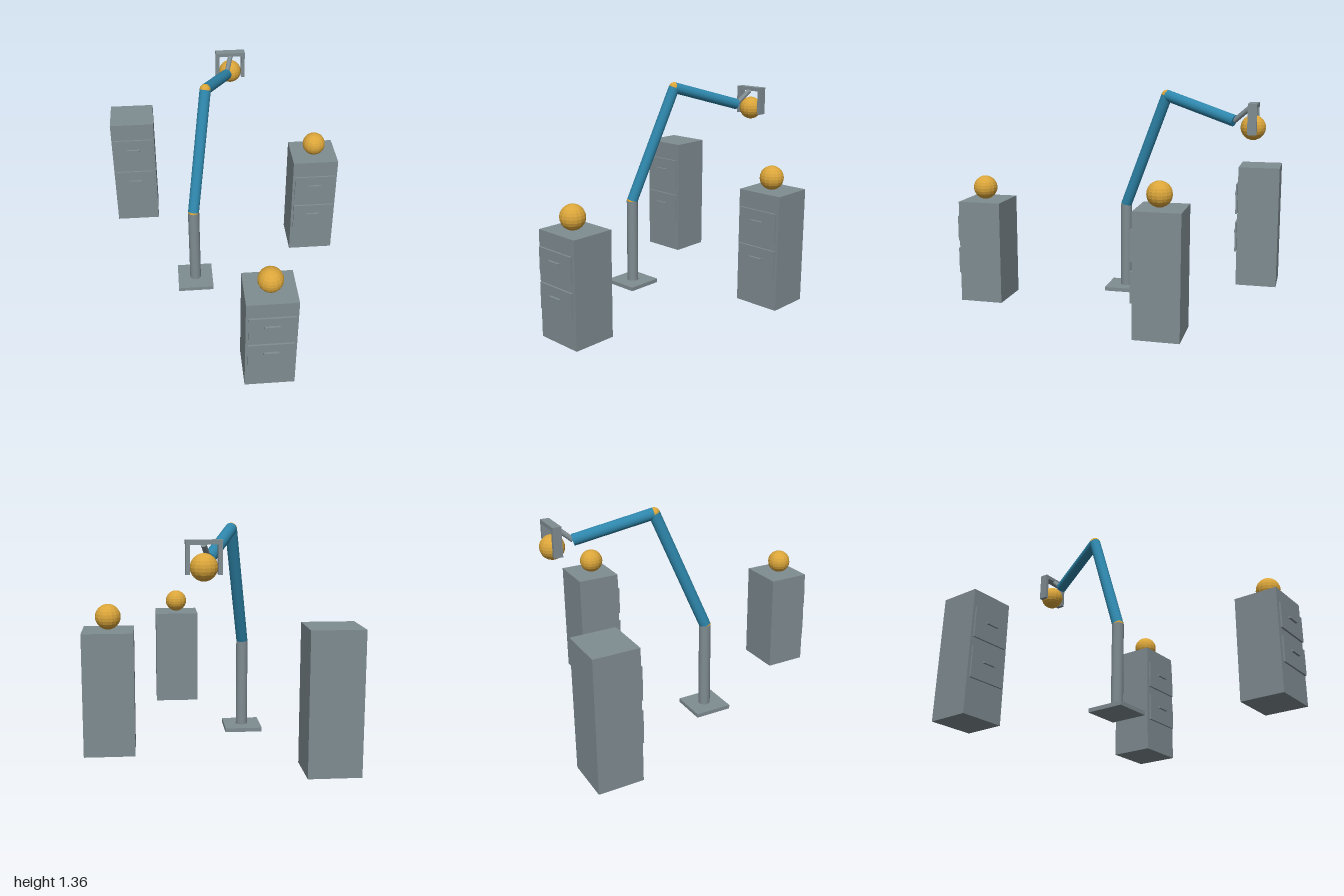
import * as THREE from 'three';

const grey = new THREE.MeshStandardMaterial({ color: 0x7f8c91 });
grey.name = 'steel grey';
const blue = new THREE.MeshStandardMaterial({ color: 0x2e86ab });
blue.name = 'arm blue';
const gold = new THREE.MeshStandardMaterial({ color: 0xdaa53a, flatShading: true });
gold.name = 'golden yellow';

function add(parent, name, geometry, material, x = 0, y = 0, z = 0) {
  const mesh = new THREE.Mesh(geometry, material);
  mesh.name = name;
  mesh.position.set(x, y, z);
  parent.add(mesh);
  return mesh;
}

const box = (parent, name, w, h, d, x, y, z) =>
  add(parent, name, new THREE.BoxGeometry(w, h, d), grey, x, y, z);

const ball = (parent, name, r, x, y, z) =>
  add(parent, name, new THREE.SphereGeometry(r, 16, 12), gold, x, y, z);

// Cylinder running between two points
function rod(parent, name, a, b, radius, material) {
  const dir = b.clone().sub(a);
  const mesh = add(parent, name, new THREE.CylinderGeometry(radius, radius, dir.length(), 24), material);
  mesh.position.copy(a).add(b).multiplyScalar(0.5);
  mesh.quaternion.setFromUnitVectors(new THREE.Vector3(0, 1, 0), dir.normalize());
  return mesh;
}

// Two-drawer cabinet; drawer sizes follow the cabinet height
function cabinet(x, h, back) {
  const group = new THREE.Group();
  group.name = 'cabinet';
  group.position.set(x, 0, back);
  const depth = 0.275;
  box(group, 'cabinetBody', 0.303, h, depth, 0, h / 2, depth / 2);
  for (const level of [0.405, 0.729]) {
    box(group, 'drawerFront', 0.272, 0.247 * h, 0.012, 0, level * h, depth + 0.01);
    box(group, 'drawerHandle', 0.09, 0.014, 0.014, 0, (level + 0.025) * h, depth + 0.023);
  }
  return group;
}

export function createModel() {
  const model = new THREE.Group();
  model.name = 'robotArmWithCabinets';

  // Cabinets, two of them carrying a ball
  model.add(cabinet(-0.622, 0.824, -1));
  model.add(cabinet(0.62, 0.738, -0.548));
  model.add(cabinet(0.167, 0.652, 0.695));
  ball(model, 'cabinetBall', 0.076, 0.62, 0.814, -0.397);
  ball(model, 'cabinetBall', 0.076, 0.167, 0.728, 0.847);

  // Base plate and post
  const arm = new THREE.Group();
  arm.name = 'robotArm';
  model.add(arm);
  const shoulder = new THREE.Vector3(-0.227, 0.582, -0.002);
  const elbow = new THREE.Vector3(-0.12, 1.322, -0.293);
  const wrist = new THREE.Vector3(0.051, 1.183, -0.743);
  const grip = new THREE.Vector3(0.086, 1.268, -0.84);
  box(arm, 'basePlate', 0.236, 0.025, 0.24, -0.228, 0.0125, -0.002);
  rod(arm, 'post', new THREE.Vector3(-0.227, 0.02, -0.002), shoulder, 0.037, grey);

  // Joints and arm segments
  ball(arm, 'shoulderJoint', 0.036, ...shoulder);
  rod(arm, 'upperArm', shoulder, elbow, 0.036, blue);
  ball(arm, 'elbowJoint', 0.036, ...elbow);
  rod(arm, 'forearm', elbow, wrist, 0.036, blue);
  rod(arm, 'wristRod', wrist, grip, 0.016, grey);

  // Gripper: a crossbar with two fingers around a ball
  const gripper = new THREE.Group();
  gripper.name = 'gripper';
  gripper.position.set(0.086, 0, -0.861);
  arm.add(gripper);
  box(gripper, 'gripperBar', 0.2, 0.025, 0.055, 0, 1.283, 0);
  for (const side of [-1, 1]) {
    box(gripper, 'gripperFinger', 0.024, 0.16, 0.055, side * 0.088, 1.191, 0);
  }
  ball(gripper, 'heldBall', 0.076, 0, 1.149, 0);

  return model;
}
